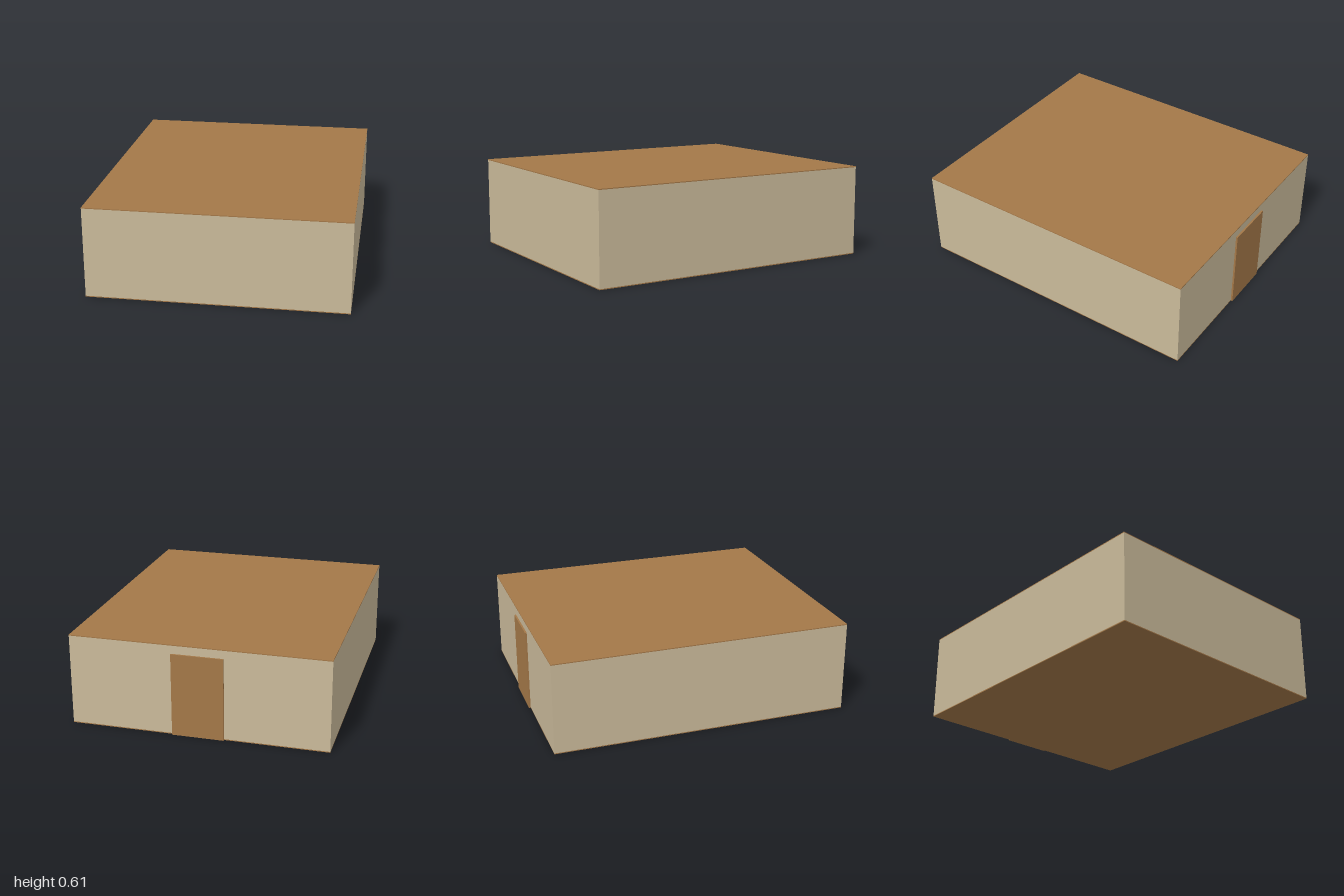
import * as THREE from 'three';

const W = 1.694, H = 0.61, FRONT = 1, BACK = -0.988;
const WALL = 0.015, SLAB = 0.006;

export function createModel() {
  const group = new THREE.Group();
  const plaster = new THREE.MeshStandardMaterial({ color: 0xcaba9a, flatShading: true });
  const wood = new THREE.MeshStandardMaterial({ color: 0xa47848, flatShading: true });

  const box = (name, material, w, h, d, x, y, z) => {
    const mesh = new THREE.Mesh(new THREE.BoxGeometry(w, h, d), material);
    mesh.name = name;
    mesh.position.set(x, y, z);
    group.add(mesh);
  };

  const depth = FRONT - BACK, midZ = (FRONT + BACK) / 2;
  const wallH = H - 2 * SLAB, midY = H / 2;

  // floor and flat roof
  box('floor', wood, W, SLAB, depth, 0, SLAB / 2, midZ);
  box('roof', wood, W, SLAB, depth, 0, H - SLAB / 2, midZ);

  // side walls run between the front and back walls
  for (const [name, side] of [['leftWall', 1], ['rightWall', -1]]) {
    box(name, plaster, WALL, wallH, depth - 2 * WALL, side * (W - WALL) / 2, midY, midZ);
  }
  box('frontWall', plaster, W, wallH, WALL, 0, midY, FRONT - WALL / 2);
  box('backWall', plaster, W, wallH, WALL, 0, midY, BACK + WALL / 2);

  // door standing slightly proud of the back wall
  const doorH = 0.55, doorD = BACK + 1;
  box('door', wood, 0.34, doorH, doorD, 0, doorH / 2, BACK - doorD / 2);

  return group;
}
